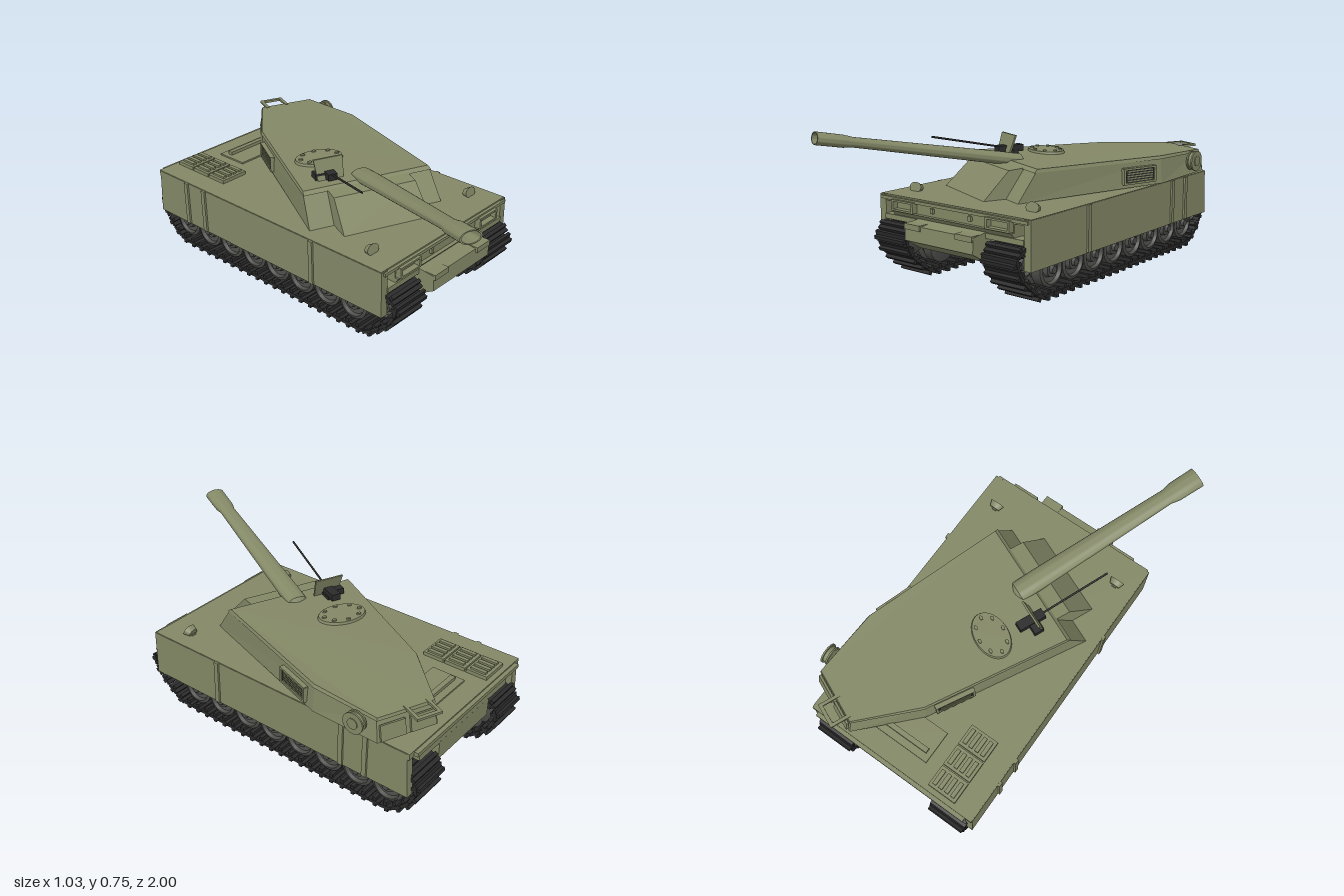
import * as THREE from 'three';
import { mergeGeometries, toCreasedNormals } from 'three/addons/utils/BufferGeometryUtils.js';

const paint = (name, color) => Object.assign(new THREE.MeshStandardMaterial({ color }), { name });

export function createModel() {
  const olive = paint('olive armour', 0x838866);
  const rubber = paint('track black', 0x2b2b2b);
  const steel = paint('wheel grey', 0x4c4d49);

  const model = new THREE.Group();
  const add = (parent, name, geo, mat, x = 0, y = 0, z = 0) => {
    const m = new THREE.Mesh(geo, mat);
    m.name = name;
    m.position.set(x, y, z);
    parent.add(m);
    return m;
  };
  // box given by its limits
  const block = (parent, name, mat, x0, x1, y0, y1, z0, z1) =>
    add(parent, name, new THREE.BoxGeometry(x1 - x0, y1 - y0, z1 - z0), mat, (x0 + x1) / 2, (y0 + y1) / 2, (z0 + z1) / 2);
  // thin rod between two points
  const rod = (parent, name, mat, a, b, r) => {
    const A = new THREE.Vector3(...a), B = new THREE.Vector3(...b), d = B.clone().sub(A);
    const m = add(parent, name, new THREE.CylinderGeometry(r, r, d.length(), 8), mat);
    m.position.copy(A.add(B).multiplyScalar(0.5));
    m.quaternion.setFromUnitVectors(new THREE.Vector3(0, 1, 0), d.normalize());
    return m;
  };
  // flat-faced solid from two rings, each counter-clockwise seen from above
  const loft = (b, t) => {
    const p = [], n = b.length, tri = (...v) => v.forEach(q => p.push(...q));
    for (let i = 0; i < n; i++) {
      const j = (i + 1) % n;
      tri(b[i], b[j], t[j]);
      tri(b[i], t[j], t[i]);
      if (i > 0 && i < n - 1) { tri(t[0], t[i], t[i + 1]); tri(b[0], b[i + 1], b[i]); }
    }
    const g = new THREE.BufferGeometry();
    g.setAttribute('position', new THREE.Float32BufferAttribute(p, 3));
    g.computeVertexNormals();
    return g;
  };
  // mirrored ring from its +x half, front to back
  const ring = half => [...half, ...half.slice().reverse().map(([x, y, z]) => [-x, y, z])];
  // extrude a side profile of [z, y] points across x
  const across = (pts, width) => {
    const g = new THREE.ExtrudeGeometry(new THREE.Shape(pts.map(([z, y]) => new THREE.Vector2(-z, y))), { depth: width, bevelEnabled: false });
    return g.translate(0, 0, -width / 2).rotateY(Math.PI / 2);
  };

  // ---------- hull ----------
  const hull = new THREE.Group();
  hull.name = 'hull';
  hull.position.x = -0.015;
  model.add(hull);
  block(hull, 'deckPlate', olive, -0.465, 0.465, 0.375, 0.407, -0.95, 0.555);
  add(hull, 'upperHull', across([[0.555, 0.38], [0.555, 0.335], [0.575, 0.335], [0.555, 0.31], [-0.945, 0.31], [-0.94, 0.38]], 0.742), olive);
  add(hull, 'lowerHull', across([[0.56, 0.315], [0.645, 0.305], [0.65, 0.23], [0.55, 0.172], [-0.9, 0.172], [-0.945, 0.22], [-0.945, 0.315]], 0.424), olive);
  block(hull, 'rearLip', olive, -0.43, 0.43, 0.38, 0.4, -0.97, -0.945);
  block(hull, 'frontBeam', olive, -0.455, 0.455, 0.385, 0.4, 0.55, 0.57);
  for (const s of [-1, 1]) {
    add(hull, 'sideSkirt', across([[0.56, 0.405], [0.56, 0.175], [-0.955, 0.175], [-0.94, 0.405]], 0.04), olive, s * 0.448);
    for (const z of [0.14, -0.6, -0.73])
      block(hull, 'skirtRib', olive, s * 0.472 - 0.006, s * 0.472 + 0.006, 0.18, 0.405, z - 0.012, z + 0.012);
    block(hull, 'trackGuard', olive, s * 0.32 - 0.11, s * 0.32 + 0.11, 0.288, 0.313, 0.5, 0.565);
    block(hull, 'shelfBracket', olive, s * 0.16 - 0.05, s * 0.16 + 0.05, 0.285, 0.312, 0.6, 0.655);
    block(hull, 'towPeg', olive, s * 0.118 - 0.008, s * 0.118 + 0.008, 0.352, 0.376, 0.55, 0.568);
    // open light housing on the bow
    const cx = s * 0.295;
    block(hull, 'lightHousingTop', olive, cx - 0.07, cx + 0.07, 0.383, 0.392, 0.55, 0.585);
    block(hull, 'lightHousingBase', olive, cx - 0.07, cx + 0.07, 0.338, 0.347, 0.55, 0.585);
    for (const e of [-1, 1])
      block(hull, 'lightHousingSide', olive, cx + e * 0.065 - 0.006, cx + e * 0.065 + 0.006, 0.34, 0.39, 0.55, 0.585);
    // headlamp on the deck
    const lamp = add(hull, 'headlamp', new THREE.CylinderGeometry(0.026, 0.018, 0.03, 20), olive, s * 0.365, 0.422, 0.41);
    lamp.rotation.x = Math.PI / 2 - 0.25;
    lamp.scale.x = 1.45;
    block(hull, 'headlampFoot', olive, s * 0.365 - 0.012, s * 0.365 + 0.012, 0.4, 0.415, 0.39, 0.42);
  }
  // engine deck
  for (let i = 0; i < 3; i++) {
    const z = -0.87 + i * 0.117;
    block(hull, 'enginePanel', olive, -0.355, -0.205, 0.405, 0.425, z - 0.055, z + 0.055);
    for (let k = 0; k < 4; k++)
      block(hull, 'enginePanelRib', olive, -0.34 + k * 0.034, -0.32 + k * 0.034, 0.425, 0.435, z - 0.04, z + 0.04);
  }
  block(hull, 'accessPlate', olive, -0.135, 0.2, 0.405, 0.415, -0.85, -0.68);
  block(hull, 'accessBar', olive, -0.11, 0.17, 0.415, 0.432, -0.815, -0.79);

  // ---------- running gear ----------
  const path = new THREE.CatmullRomCurve3([
    [0.45, 0.035], [0.57, 0.13], [0.612, 0.215], [0.575, 0.262], [0.48, 0.264], [0, 0.262], [-0.5, 0.262],
    [-0.88, 0.264], [-0.955, 0.25], [-0.975, 0.19], [-0.935, 0.105], [-0.83, 0.03], [-0.5, 0.028], [0, 0.028], [0.38, 0.028],
  ].map(([z, y]) => new THREE.Vector3(0, y, z)), true, 'catmullrom', 0.3);
  const links = 56, parts = [];
  for (let i = 0; i < links; i++) {
    const p = path.getPointAt(i / links), t = path.getTangentAt(i / links);
    const place = g => parts.push(g.rotateX(-Math.atan2(t.y, t.z)).translate(p.x, p.y, p.z));
    place(new THREE.BoxGeometry(0.203, 0.016, 0.058));
    place(new THREE.BoxGeometry(0.196, 0.05, 0.018));
  }
  const trackGeo = mergeGeometries(parts);
  // dished wheel, lathed about its axle
  const wheelGeo = r => toCreasedNormals(new THREE.LatheGeometry(
    [[0, -0.075], [0.8, -0.075], [1, -0.07], [1, -0.02], [0.7, -0.015], [0.7, 0.015], [1, 0.02], [1, 0.072], [0.82, 0.077],
      [0.74, 0.06], [0.48, 0.055], [0.42, 0.075], [0.24, 0.075], [0.2, 0.09], [0, 0.09]].map(([a, y]) => new THREE.Vector2(a * r, y)), 28), 0.5);
  const road = wheelGeo(0.084), end = wheelGeo(0.062);
  for (const s of [-1, 1]) {
    add(hull, 'track', trackGeo, rubber, s * 0.338);
    const wheel = (name, geo, y, z) => { add(hull, name, geo, steel, s * 0.338, y, z).rotation.z = -s * Math.PI / 2; };
    for (let i = 0; i < 8; i++) wheel('roadWheel', road, 0.133, 0.342 - i * 0.1655);
    wheel('frontIdler', end, 0.195, 0.535);
    wheel('rearSprocket', end, 0.185, -0.895);
  }

  // ---------- turret ----------
  const turret = new THREE.Group();
  turret.name = 'turret';
  turret.position.set(-0.014, 0, -0.006);
  turret.rotation.y = -0.408;
  model.add(turret);
  const roofLow = [[0.335, 0.542, 0.15], [0.268, 0.538, -0.61], [0.145, 0.533, -0.935]];
  const roofTop = [[0.328, 0.558, 0.13], [0.262, 0.554, -0.605], [0.142, 0.547, -0.93]];
  const wallTop = [[0.332, 0.543, 0.14], [0.262, 0.539, -0.605], [0.142, 0.534, -0.925]];
  const wallLow = [[0.345, 0.408, 0.24], [0.272, 0.415, -0.61], [0.152, 0.435, -0.955]];
  add(turret, 'turretRoof', loft(ring(roofLow), ring(roofTop)), olive);
  add(turret, 'turretWalls', loft(ring(wallLow), ring(wallTop)), olive);
  add(turret, 'mantlet', loft(ring([[0.222, 0.408, 0.355], [0.222, 0.408, 0]]), ring([[0.212, 0.54, 0.22], [0.212, 0.55, 0.1]])), olive);
  add(turret, 'turretRing', new THREE.CylinderGeometry(0.25, 0.25, 0.03, 32), olive, 0, 0.41, -0.1);

  // gun with hollow muzzle sleeve
  const gun = add(turret, 'gunBarrel', toCreasedNormals(new THREE.LatheGeometry(
    [[0, -0.03], [0.03, 0], [0.031, 0.1], [0.0235, 0.85], [0.029, 0.895], [0.03, 1.025], [0.025, 1.025], [0.022, 0.88], [0, 0.88]]
      .map(p => new THREE.Vector2(...p)), 28), 0.5), olive, 0, 0.548, 0.06);
  gun.rotation.x = Math.PI / 2 - 0.173;
  gun.scale.x = 1.75;

  // oval hatch with bolts round the rim
  const hatch = new THREE.Group();
  hatch.name = 'hatch';
  hatch.position.set(-0.125, 0.555, -0.163);
  hatch.scale.x = 1.5;
  turret.add(hatch);
  add(hatch, 'hatchLid', new THREE.CylinderGeometry(0.08, 0.084, 0.016, 32), olive, 0, 0.006, 0);
  for (let i = 0; i < 8; i++) {
    const a = i * Math.PI / 4;
    add(hatch, 'hatchBolt', new THREE.CylinderGeometry(0.008, 0.008, 0.008, 8), olive, 0.064 * Math.cos(a), 0.017, 0.064 * Math.sin(a));
  }

  // roof machine gun and shield
  block(turret, 'machineGunMount', rubber, -0.185, -0.135, 0.55, 0.572, -0.01, 0.07);
  block(turret, 'machineGunBody', rubber, -0.187, -0.14, 0.565, 0.598, -0.04, 0.1);
  block(turret, 'ammoBox', rubber, -0.235, -0.185, 0.56, 0.59, 0.01, 0.06);
  rod(turret, 'machineGunBarrel', rubber, [-0.164, 0.585, 0.05], [-0.175, 0.665, 0.445], 0.005);
  add(turret, 'gunShield', loft(
    [[-0.095, 0.55, 0.07], [-0.095, 0.55, 0.06], [-0.225, 0.55, 0.06], [-0.225, 0.55, 0.07]],
    [[-0.085, 0.655, 0.035], [-0.085, 0.655, 0.025], [-0.235, 0.655, 0.025], [-0.235, 0.655, 0.035]]), olive);

  // side grilles: frame, dark backing and slats
  for (const s of [-1, 1]) {
    const vent = new THREE.Group();
    vent.name = 'sideGrille';
    vent.position.set(s * 0.286, 0.473, -0.46);
    vent.rotation.y = s * 0.092;
    turret.add(vent);
    block(vent, 'grilleBack', rubber, -0.008, 0.008, -0.034, 0.034, -0.09, 0.09);
    for (const e of [-1, 1]) {
      block(vent, 'grilleRail', olive, -0.014, 0.014, e * 0.036 - 0.005, e * 0.036 + 0.005, -0.1, 0.1);
      block(vent, 'grillePost', olive, -0.014, 0.014, -0.036, 0.036, e * 0.095 - 0.006, e * 0.095 + 0.006);
    }
    for (let k = -2; k <= 2; k++)
      block(vent, 'grilleSlat', olive, -0.011, 0.011, k * 0.012 - 0.003, k * 0.012 + 0.003, -0.08, 0.08);
  }

  // spool on the left rear wall
  const spool = new THREE.Group();
  spool.name = 'spool';
  spool.position.set(0.2, 0.5, -0.854);
  spool.rotation.y = 0.408;
  turret.add(spool);
  for (const [r, len, x] of [[0.05, 0.008, -0.008], [0.043, 0.03, 0.002], [0.052, 0.008, 0.018], [0.026, 0.012, 0.02]])
    add(spool, 'spoolDisc', new THREE.CylinderGeometry(r, r, len, 28), olive, x).rotation.z = Math.PI / 2;

  // rear stowage frame and lower flaps
  for (const x of [-0.115, -0.005]) block(turret, 'stowageArm', olive, x - 0.008, x + 0.008, 0.538, 0.55, -1.015, -0.91);
  block(turret, 'stowageBar', olive, -0.123, 0.003, 0.538, 0.55, -1.018, -1.0);
  for (const s of [-1, 1]) {
    const flap = block(turret, 'rearFlap', olive, s * 0.075 - 0.062, s * 0.075 + 0.062, 0.44, 0.515, -0.957, -0.945);
    flap.rotation.x = 0.2;
  }
  return model;
}
